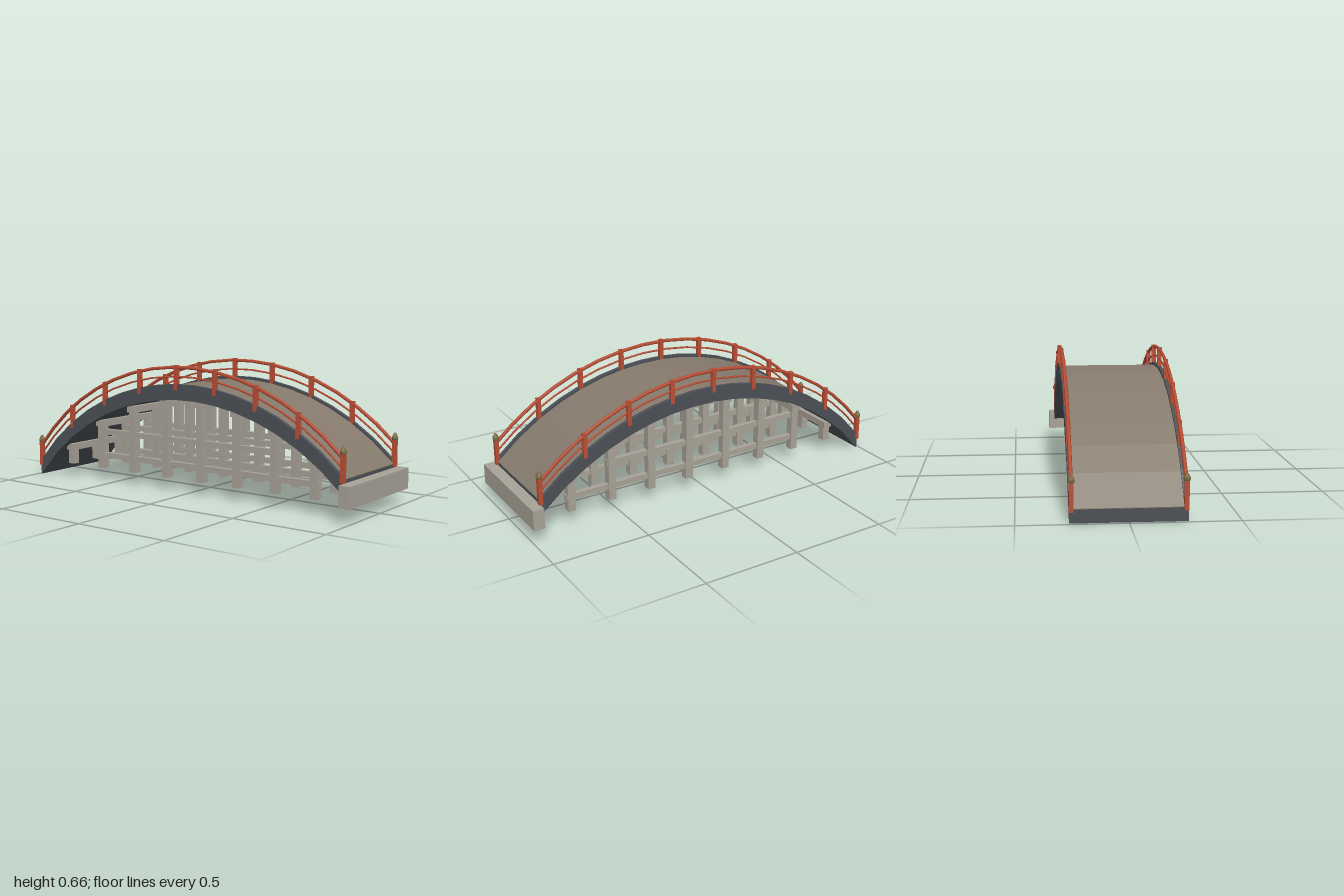
import * as THREE from 'three';

const X0 = -0.985, X1 = 0.94, SEGMENTS = 16;
const CREST = 0.037, RADIUS = 1.31, SOFFIT = 0.49;

// Height of the arch underside at x
const arch = (x) => SOFFIT - RADIUS + Math.sqrt(RADIUS * RADIUS - (x - CREST) ** 2);
const xAt = (i, n) => X0 + (X1 - X0) * i / n;

// Curved strip following the arch, between two heights above its underside
function archStrip(low, high, depth) {
  const pts = [];
  for (let i = 0; i <= SEGMENTS; i++) pts.push(new THREE.Vector2(xAt(i, SEGMENTS), arch(xAt(i, SEGMENTS)) + low));
  for (let i = SEGMENTS; i >= 0; i--) pts.push(new THREE.Vector2(xAt(i, SEGMENTS), arch(xAt(i, SEGMENTS)) + high));
  const geo = new THREE.ExtrudeGeometry(new THREE.Shape(pts), { depth, bevelEnabled: false });
  return geo.translate(0, 0, -depth / 2);
}

// Rail following the arch at a height above its underside
function railTube(height, radius) {
  const path = new THREE.CurvePath();
  const point = (i) => new THREE.Vector3(xAt(i, SEGMENTS), arch(xAt(i, SEGMENTS)) + height, 0);
  for (let i = 0; i < SEGMENTS; i++) path.add(new THREE.LineCurve3(point(i), point(i + 1)));
  const curve = new THREE.CatmullRomCurve3(Array.from({ length: SEGMENTS + 1 }, (_, i) => point(i)));
  return new THREE.TubeGeometry(curve, SEGMENTS, radius, 6, false);
}

export function createModel() {
  const model = new THREE.Group();
  model.name = 'archedBridge';

  const material = (name, color) => {
    const m = new THREE.MeshStandardMaterial({ color });
    m.name = name;
    return m;
  };
  const stone = material('pale stone', 0xa8a297);
  const slate = material('dark slate', 0x4b5056);
  const planks = material('weathered deck', 0x857a6c);
  const red = material('red lacquer', 0xba4e34);
  const bronze = material('aged bronze', 0x7a6a42);

  const add = (parent, name, geo, mat, x = 0, y = 0, z = 0) => {
    const mesh = new THREE.Mesh(geo, mat);
    mesh.name = name;
    mesh.position.set(x, y, z);
    parent.add(mesh);
    return mesh;
  };
  // Box given by its x range, y range, centre z and depth
  const block = (parent, name, mat, xa, xb, ya, yb, z, depth) =>
    add(parent, name, new THREE.BoxGeometry(xb - xa, yb - ya, depth), mat, (xa + xb) / 2, (ya + yb) / 2, z);

  // Arched span: slab, thin walking surface and raised side girders
  add(model, 'archSlab', archStrip(0, 0.063, 0.488), slate);
  add(model, 'deckSurface', archStrip(0.063, 0.066, 0.488), planks);
  for (const side of [-1, 1]) add(model, 'sideGirder', archStrip(0, 0.08, 0.02), slate, 0, 0, side * 0.254);

  // Railings with posts and finials on the end posts
  const finialGeo = new THREE.LatheGeometry([
    [0, 0], [0.014, 0], [0.0165, 0.007], [0.0155, 0.016], [0.006, 0.034], [0, 0.037],
  ].map(([r, y]) => new THREE.Vector2(r, y)), 8).toNonIndexed();
  finialGeo.computeVertexNormals();
  for (const side of [-1, 1]) {
    const railing = new THREE.Group();
    railing.name = side > 0 ? 'frontRailing' : 'backRailing';
    railing.position.z = side * 0.254;
    model.add(railing);
    add(railing, 'topRail', railTube(0.165, 0.009), red);
    add(railing, 'lowerRail', railTube(0.118, 0.005), red);
    for (let i = 0; i <= 8; i++) {
      const x = xAt(i, 8), y = arch(x), end = i === 0 || i === 8;
      const top = y + (end ? 0.183 : 0.175);
      block(railing, 'railPost', red, x - 0.0105, x + 0.0105, y + 0.05, top, 0, 0.021);
      if (end) add(railing, 'finial', finialGeo, bronze, x, top, 0);
    }
  }

  // Pier bents: three columns under a cross cap
  const rows = [-0.19, 0, 0.19];
  for (let i = 0; i < 8; i++) {
    const x = -0.804 + i * 0.2229, top = arch(x);
    const bent = new THREE.Group();
    bent.name = 'pierBent';
    model.add(bent);
    for (const z of rows) block(bent, 'pierColumn', stone, x - 0.02, x + 0.02, 0.07, top - 0.035, z, 0.04);
    block(bent, 'pierCap', stone, x - 0.025, x + 0.025, top - 0.037, top - 0.002, 0, 0.44);
  }

  // Lengthwise ties joining the columns of each row
  for (const z of rows) {
    block(model, 'lowerTie', stone, -0.607, 0.783, 0.128, 0.157, z, 0.026);
    block(model, 'upperTie', stone, -0.607, 0.558, 0.256, 0.285, z, 0.026);
  }

  // Abutment at the right-hand end
  block(model, 'abutment', stone, 0.94, 0.998, 0.07, 0.175, 0, 0.588);

  return model;
}
